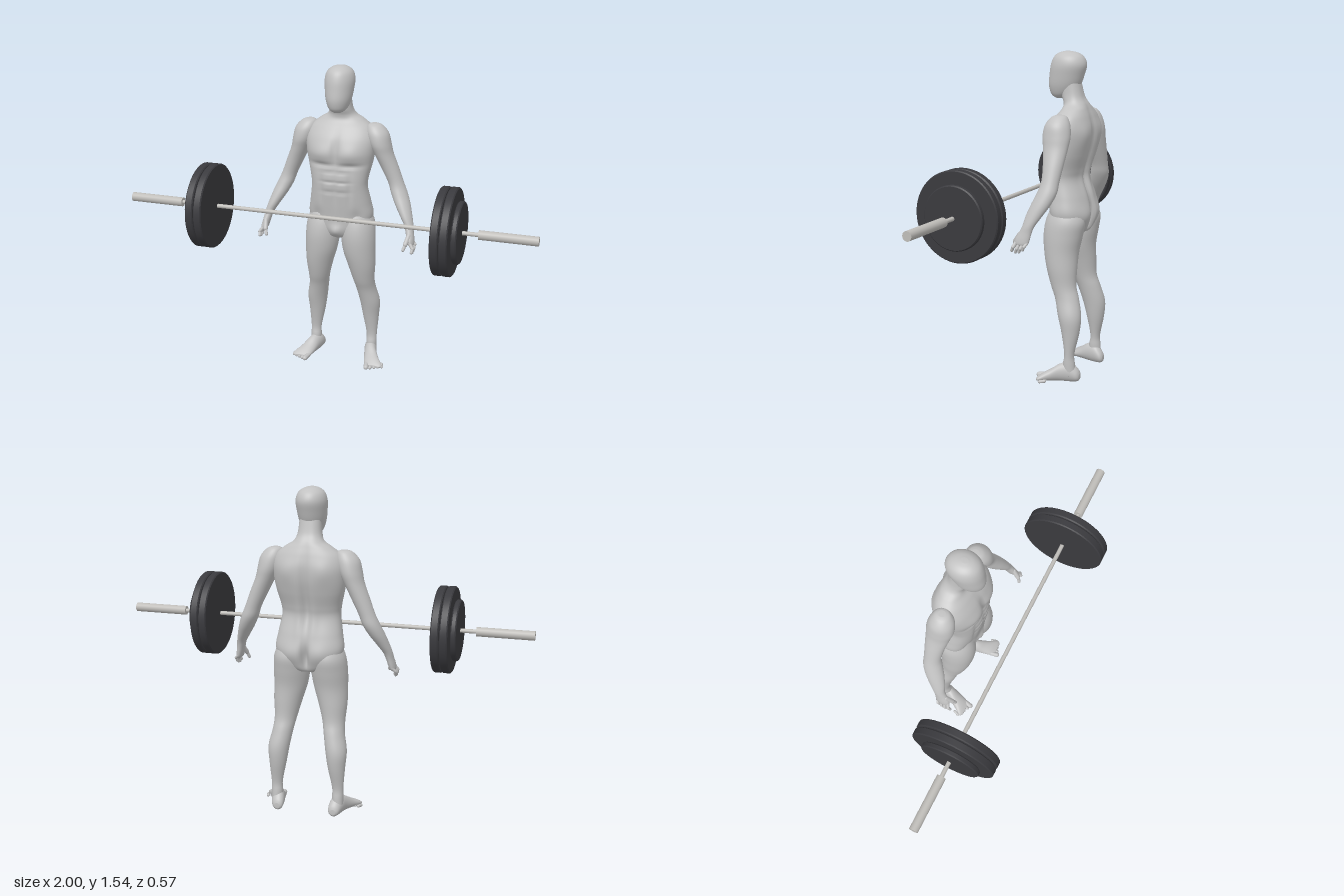
import * as THREE from 'three';
import { toCreasedNormals } from 'three/addons/utils/BufferGeometryUtils.js';

const material = (name, color) => {
  const m = new THREE.MeshStandardMaterial({ color });
  m.name = name;
  return m;
};

// Smooth interpolation through rows of numbers
function smoothRows(rows, steps) {
  const out = [];
  const at = i => rows[Math.min(Math.max(i, 0), rows.length - 1)];
  for (let i = 0; i < rows.length - 1; i++) {
    for (let s = 0; s < steps; s++) {
      const t = s / steps;
      out.push(rows[i].map((b, k) => {
        const a = at(i - 1)[k], c = at(i + 1)[k], d = at(i + 2)[k];
        return 0.5 * (2 * b + (c - a) * t + (2 * a - 5 * b + 4 * c - d) * t * t + (3 * b - a - 3 * c + d) * t ** 3);
      }));
    }
  }
  out.push(rows[rows.length - 1]);
  return out;
}

// Closed skin over oval sections. Row: [height, centre x, half width, front z, back z].
// With lying = true the rows run along z and the last two numbers are y.
function loft(rows, { power = 1, bumps = [], lying = false, steps = 5, sides = 40 } = {}) {
  const pos = [], index = [];
  const put = (x, t, b) => pos.push(x, lying ? b : t, lying ? t : b);
  const rings = smoothRows(rows, steps);
  const round = v => Math.sign(v) * Math.abs(v) ** power;
  for (const [t, cx, hw, f, b] of rings) {
    for (let j = 0; j < sides; j++) {
      const a = j / sides * Math.PI * 2, s = Math.sin(a);
      const x = cx + hw * round(Math.cos(a));
      let d = (f + b) / 2 + (f - b) / 2 * round(s);
      // Muscle bumps: [x, y, x spread, y spread, depth, side]
      for (const [bx, by, sx, sy, depth, side] of bumps) {
        const w = Math.max(0, s * side);
        d += side * depth * Math.sqrt(w) * Math.exp(-(((Math.abs(x) - bx) / sx) ** 2) - ((t - by) / sy) ** 2);
      }
      put(x, t, d);
    }
  }
  const first = rings[0], last = rings[rings.length - 1], n = rings.length * sides;
  put(first[1], first[0], (first[3] + first[4]) / 2);
  put(last[1], last[0], (last[3] + last[4]) / 2);
  const flip = (first[0] > last[0]) !== (lying !== (first[3] < first[4]));
  const tri = (a, b, c) => (flip ? index.push(a, c, b) : index.push(a, b, c));
  for (let j = 0; j < sides; j++) {
    const k = (j + 1) % sides;
    for (let i = 0; i < rings.length - 1; i++) {
      const a = i * sides + j, b = i * sides + k;
      tri(a, a + sides, b);
      tri(b, a + sides, b + sides);
    }
    tri(n, j, k);
    tri(n + 1, n - sides + k, n - sides + j);
  }
  const g = new THREE.BufferGeometry();
  g.setAttribute('position', new THREE.Float32BufferAttribute(pos, 3));
  g.setIndex(index);
  g.computeVertexNormals();
  return g;
}

// Rounded segment between two points
function segment(a, b, r) {
  const p = new THREE.Vector3(...a), q = new THREE.Vector3(...b), d = q.clone().sub(p);
  const g = new THREE.CapsuleGeometry(r, d.length(), 5, 12);
  g.applyQuaternion(new THREE.Quaternion().setFromUnitVectors(new THREE.Vector3(0, 1, 0), d.normalize()));
  return g.translate(...p.add(q).multiplyScalar(0.5).toArray());
}

function mirrored(geometry) {
  const g = geometry.clone();
  g.scale(-1, 1, 1);
  const ix = g.index.array;
  for (let i = 0; i < ix.length; i += 3) [ix[i + 1], ix[i + 2]] = [ix[i + 2], ix[i + 1]];
  g.computeVertexNormals();
  return g;
}

export function createModel() {
  const model = new THREE.Group();
  const skin = material('pale grey body', 0xc2c2c2);
  const steel = material('bar steel', 0xbfbdb9);
  const rubber = material('dark plate', 0x3a3a3e);

  const figure = new THREE.Group();
  figure.name = 'figure';
  const barbell = new THREE.Group();
  barbell.name = 'barbell';
  model.add(figure, barbell);
  const add = (group, name, geometry, mat) => {
    const m = new THREE.Mesh(geometry, mat);
    m.name = name;
    group.add(m);
  };
  const addPair = (name, g) => {
    add(figure, 'left' + name, g, skin);
    add(figure, 'right' + name, mirrored(g), skin);
  };

  // Head
  add(figure, 'head', loft([
    [1.322, 0, 0.018, -0.085, -0.125], [1.332, 0, 0.036, -0.07, -0.15], [1.35, 0, 0.049, -0.058, -0.18],
    [1.385, 0, 0.061, -0.051, -0.205], [1.43, 0, 0.068, -0.055, -0.222], [1.475, 0, 0.071, -0.062, -0.234],
    [1.51, 0, 0.061, -0.076, -0.222], [1.53, 0, 0.038, -0.1, -0.195], [1.538, 0, 0.012, -0.13, -0.16],
  ]), skin);

  // Torso and neck
  add(figure, 'torso', loft([
    [0.685, 0, 0.02, -0.12, -0.19], [0.7, 0, 0.07, -0.1, -0.245], [0.74, 0, 0.135, -0.088, -0.266],
    [0.8, 0, 0.16, -0.082, -0.277], [0.87, 0, 0.151, -0.072, -0.262], [0.95, 0, 0.138, -0.062, -0.236],
    [1.0, 0, 0.142, -0.06, -0.242], [1.07, 0, 0.158, -0.064, -0.264], [1.13, 0, 0.168, -0.06, -0.277],
    [1.19, 0, 0.17, -0.075, -0.278], [1.24, 0, 0.15, -0.105, -0.266], [1.275, 0, 0.108, -0.132, -0.253],
    [1.3, 0, 0.07, -0.135, -0.242], [1.335, 0, 0.055, -0.122, -0.222], [1.4, 0, 0.05, -0.11, -0.205],
  ], { power: 0.85, steps: 8, sides: 96, bumps: [
    [0.075, 1.125, 0.06, 0.045, 0.012, 1], [0, 1.13, 0.016, 0.07, -0.014, 1], // chest and breastbone
    [0.07, 1.068, 0.06, 0.012, -0.01, 1], [0, 0.95, 0.01, 0.09, -0.007, 1], // under chest, midline
    [0.03, 1.035, 0.04, 0.007, -0.005, 1], [0.03, 0.985, 0.04, 0.007, -0.006, 1],
    [0.03, 0.935, 0.04, 0.007, -0.006, 1], [0.072, 0.95, 0.012, 0.09, -0.006, 1], // abdominals
    [0.1, 0.8, 0.03, 0.04, -0.01, 1], [0, 0.73, 0.028, 0.03, 0.018, 1], // groin
    [0, 1.04, 0.018, 0.17, -0.02, -1], [0.09, 1.17, 0.045, 0.05, 0.008, -1], // spine, shoulder blades
    [0.035, 0.95, 0.02, 0.08, 0.006, -1], [0, 0.77, 0.014, 0.06, -0.04, -1], // lower back, cleft
    [0.07, 0.78, 0.045, 0.045, 0.008, -1],
  ] }), skin);

  // Arms, from shoulder to palm
  addPair('Arm', loft([
    [1.264, 0.162, 0.015, -0.165, -0.2], [1.254, 0.166, 0.036, -0.142, -0.218], [1.22, 0.178, 0.054, -0.12, -0.236],
    [1.17, 0.192, 0.053, -0.114, -0.245], [1.12, 0.21, 0.046, -0.125, -0.242], [1.05, 0.241, 0.042, -0.14, -0.236],
    [0.98, 0.271, 0.038, -0.147, -0.23], [0.93, 0.291, 0.04, -0.135, -0.227], [0.88, 0.314, 0.037, -0.117, -0.208],
    [0.83, 0.338, 0.029, -0.102, -0.178], [0.79, 0.356, 0.022, -0.095, -0.153], [0.76, 0.364, 0.019, -0.082, -0.142],
    [0.73, 0.371, 0.018, -0.066, -0.136], [0.708, 0.376, 0.015, -0.064, -0.13], [0.698, 0.378, 0.007, -0.075, -0.12],
  ]));

  // Fingers and thumb
  for (let i = 0; i < 4; i++) {
    const z = -0.071 - i * 0.018, drop = [0, 0.006, 0.004, -0.006][i], r = 0.0085 - i * 0.0005;
    const knuckle = [0.377, 0.712, z], joint = [0.391, 0.692 - drop, z + 0.008], tip = [0.388, 0.676 - drop, z + 0.016];
    addPair('Finger' + (i + 1), segment(knuckle, joint, r));
    addPair('Fingertip' + (i + 1), segment(joint, tip, r - 0.001));
  }
  addPair('ThumbBase', segment([0.366, 0.75, -0.085], [0.357, 0.713, -0.057], 0.011));
  addPair('ThumbTip', segment([0.357, 0.713, -0.057], [0.349, 0.688, -0.046], 0.008));

  // Legs, from hip to ankle
  addPair('Leg', loft([
    [0.035, 0.15, 0.026, -0.198, -0.262], [0.09, 0.15, 0.027, -0.2, -0.257], [0.14, 0.15, 0.027, -0.207, -0.254],
    [0.24, 0.144, 0.041, -0.19, -0.275], [0.32, 0.14, 0.05, -0.17, -0.281], [0.4, 0.125, 0.049, -0.147, -0.262],
    [0.46, 0.117, 0.054, -0.122, -0.244], [0.54, 0.109, 0.068, -0.097, -0.243], [0.62, 0.097, 0.08, -0.08, -0.246],
    [0.7, 0.091, 0.085, -0.074, -0.262], [0.77, 0.088, 0.079, -0.085, -0.27], [0.84, 0.085, 0.05, -0.115, -0.235],
  ]));

  // Feet
  addPair('Foot', loft([
    [-0.279, 0.138, 0.013, 0.04, 0.014], [-0.268, 0.139, 0.026, 0.062, 0.004], [-0.235, 0.145, 0.032, 0.092, 0],
    [-0.19, 0.156, 0.033, 0.086, 0], [-0.15, 0.172, 0.039, 0.06, 0], [-0.12, 0.187, 0.045, 0.042, 0],
    [-0.103, 0.194, 0.044, 0.03, 0.002], [-0.092, 0.193, 0.032, 0.021, 0.007],
  ], { lying: true }));
  for (let i = 0; i < 5; i++) {
    const r = i ? 0.0095 - i * 0.0005 : 0.0125;
    addPair('Toe' + (i + 1), segment([0.157 + i * 0.018, r + 0.004, -0.115 - i * 0.006],
      [0.164 + i * 0.0182, r, -0.078 - i * 0.0095], r));
  }

  // Bar and its thick end sleeves
  const rod = (r, length) => new THREE.CylinderGeometry(r, r, length, 20).rotateZ(Math.PI / 2);
  add(barbell, 'bar', rod(0.01, 1.5), steel);
  for (const s of [1, -1]) {
    add(barbell, 'sleeve', rod(0.022, 0.27).translate(s * 0.865, 0, 0), steel);
    // Two large plates and a small one, with bevelled rims: [x, radius, thickness]
    for (const [x, r, w] of [[0.565, 0.205, 0.038], [0.607, 0.205, 0.038], [0.642, 0.145, 0.026]]) {
      const h = w / 2, c = 0.005;
      const profile = [[0, -h], [r - c, -h], [r, c - h], [r, h - c], [r - c, h], [0, h]];
      const plate = new THREE.LatheGeometry(profile.map(p => new THREE.Vector2(...p)), 64);
      plate.rotateZ(Math.PI / 2).translate(s * x, 0, 0);
      add(barbell, 'weightPlate', toCreasedNormals(plate, 0.5), rubber);
    }
    add(barbell, 'plateSpacer', rod(0.06, 0.09).translate(s * 0.6, 0, 0), rubber);
  }
  barbell.position.set(0, 0.86, 0.087);
  return model;
}
